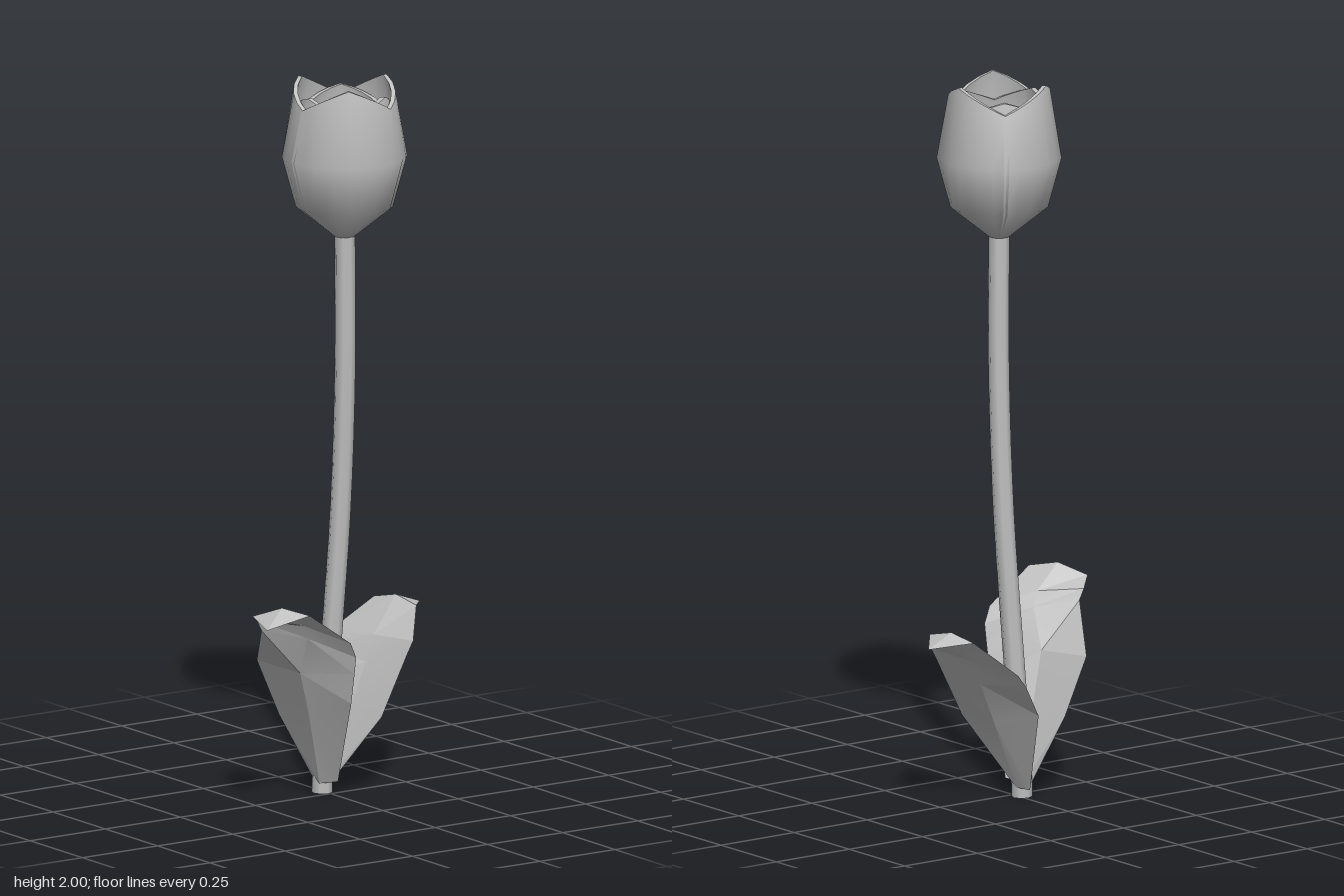
import * as THREE from 'three';
import { toCreasedNormals } from 'three/addons/utils/BufferGeometryUtils.js';

// Skin a grid of cross-sections (rows of [x, y, z] points)
function skin(rows, crease) {
  const n = rows[0].length;
  const index = [];
  for (let i = 0; i < rows.length - 1; i++) {
    for (let j = 0; j < n - 1; j++) {
      const a = i * n + j, b = a + 1, c = a + n, d = c + 1;
      index.push(a, c, b, b, c, d);
    }
  }
  const geo = new THREE.BufferGeometry();
  geo.setAttribute('position', new THREE.Float32BufferAttribute(rows.flat(2), 3));
  geo.setIndex(index);
  return toCreasedNormals(geo, crease);
}

// Petal: a curved third of the cup, up the outside, over the pointed rim, down the inside
function petalGeometry({ profile, tip, valley, rim, wall, spread }) {
  const cols = 8;
  const row = (r, height) => {
    const points = [];
    for (let j = 0; j <= cols; j++) {
      const t = (j / cols) * 2 - 1;
      const a = t * spread;
      points.push([r * Math.cos(a), height(Math.abs(t)), r * Math.sin(a)]);
    }
    return points;
  };
  const edge = (t) => tip + (valley - tip) * Math.pow(t, 1.1);
  const outside = profile.map(([r, y]) => row(r, () => y));
  const inside = profile.map(([r, y]) => row(Math.max(r - wall, 0.004), () => y + wall * 0.5)).reverse();
  return skin([...outside, row(rim, edge), row(rim - wall, edge), ...inside], 0.9);
}

export function createModel() {
  const grey = new THREE.MeshStandardMaterial({ color: 0xc0c0c0, side: THREE.DoubleSide });
  grey.name = 'plain grey';

  const model = new THREE.Group();
  model.name = 'tulip';
  const add = (parent, name, geometry) => {
    const mesh = new THREE.Mesh(geometry, grey);
    mesh.name = name;
    parent.add(mesh);
    return mesh;
  };

  // Gently bowed stem with a flat cut end
  const stemPath = new THREE.CatmullRomCurve3([
    [-0.008, 0, -0.03], [-0.007, 0.08, -0.03], [0.01, 0.4, -0.015],
    [0.029, 0.8, 0.005], [0.033, 1.2, 0.021], [0.027, 1.58, 0.028],
  ].map((p) => new THREE.Vector3(...p)));
  add(model, 'stem', new THREE.TubeGeometry(stemPath, 16, 0.029, 8));
  const cut = add(model, 'stemEnd', new THREE.CircleGeometry(0.029, 8));
  cut.rotation.x = Math.PI / 2;
  cut.position.set(-0.008, 0.001, -0.03);

  // Flower: three outer petals and three inner ones set between them
  const flower = new THREE.Group();
  flower.name = 'flower';
  flower.position.set(0.027, 0, 0.027);
  model.add(flower);
  const outer = petalGeometry({
    profile: [[0.028, 1.565], [0.135, 1.652], [0.172, 1.79]],
    tip: 2.0, valley: 1.93, rim: 0.14, wall: 0.012, spread: 1.09,
  });
  const inner = petalGeometry({
    profile: [[0.012, 1.575], [0.115, 1.665], [0.152, 1.79]],
    tip: 1.965, valley: 1.92, rim: 0.123, wall: 0.014, spread: 1.09,
  });
  for (let i = 0; i < 3; i++) {
    const turn = (i * Math.PI * 2) / 3;
    add(flower, 'outerPetal', outer).rotation.y = turn;
    add(flower, 'innerPetal', inner).rotation.y = turn + Math.PI / 3;
  }

  // Leaves: cross-sections from base to drooping tip, each edge, midrib, edge
  const rightTip = [-0.363, 0.545, 0.217];
  add(model, 'rightLeaf', skin([
    [[-0.02, 0.03, -0.05], [-0.03, 0.03, -0.01], [0.0, 0.04, 0.035]],
    [[-0.11, 0.22, -0.09], [-0.10, 0.24, 0.04], [-0.05, 0.29, 0.17]],
    [[-0.18, 0.38, -0.095], [-0.15, 0.37, 0.07], [-0.06, 0.38, 0.2]],
    [[-0.262, 0.50, 0.045], [-0.165, 0.48, 0.125], [-0.065, 0.43, 0.215]],
    [[-0.277, 0.53, 0.045], [-0.185, 0.52, 0.135], [-0.09, 0.475, 0.225]],
    [[-0.32, 0.555, 0.085], [-0.27, 0.585, 0.155], [-0.225, 0.57, 0.225]],
    [rightTip, rightTip, rightTip],
  ], 0.15));

  const leftTip = [0.362, 0.475, -0.095];
  add(model, 'leftLeaf', skin([
    [[0.0, 0.04, 0.01], [0.02, 0.03, -0.04], [0.01, 0.03, -0.09]],
    [[0.10, 0.22, 0.10], [0.09, 0.21, -0.04], [0.06, 0.265, -0.195]],
    [[0.185, 0.38, 0.097], [0.15, 0.34, -0.05], [0.125, 0.36, -0.225]],
    [[0.205, 0.42, 0.10], [0.185, 0.41, -0.06], [0.15, 0.395, -0.222]],
    [[0.285, 0.49, 0.0], [0.272, 0.508, -0.08], [0.255, 0.49, -0.16]],
    [leftTip, leftTip, leftTip],
  ], 0.15));

  return model;
}
